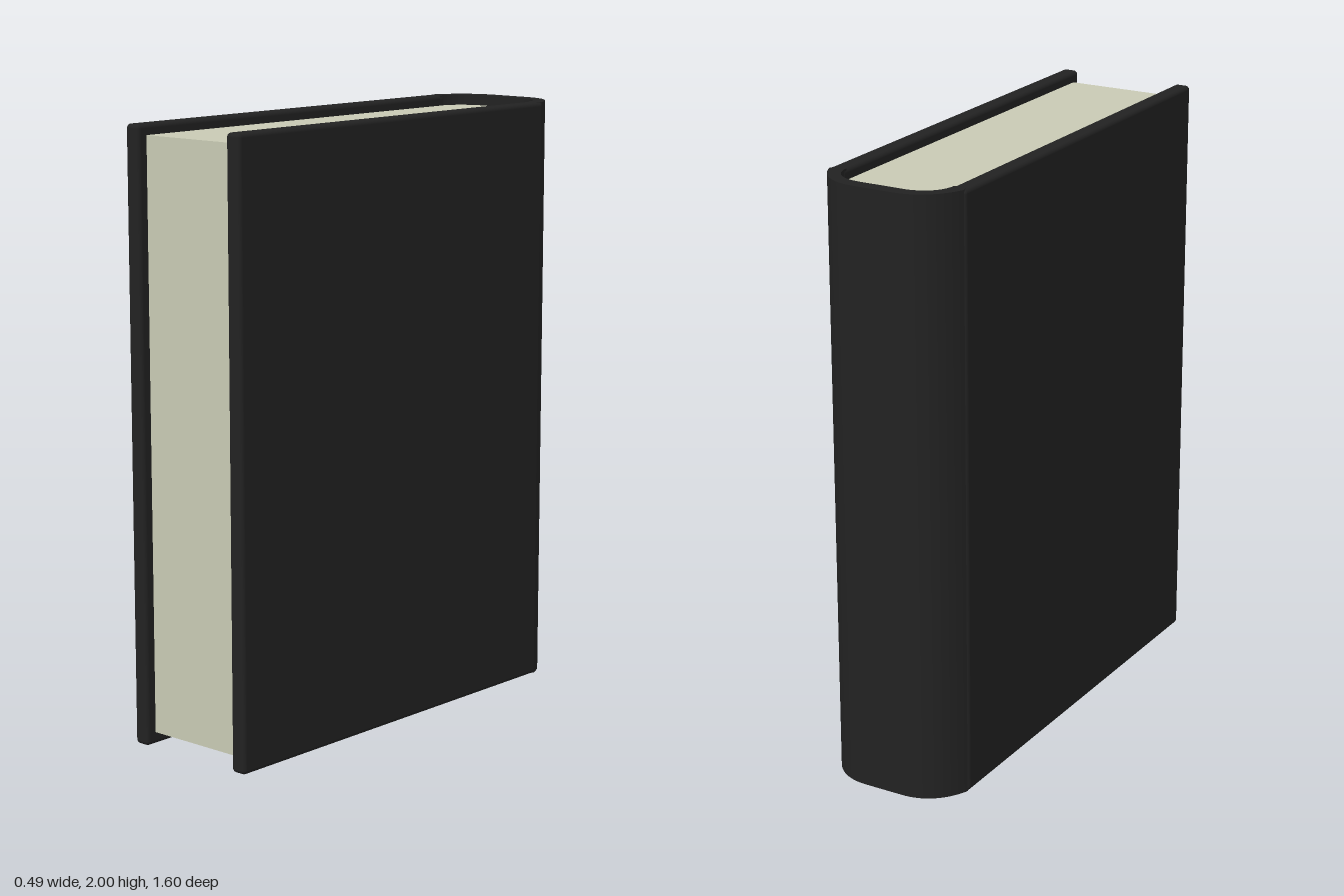
import * as THREE from 'three';
import { toCreasedNormals } from 'three/addons/utils/BufferGeometryUtils.js';
import { RoundedBoxGeometry } from 'three/addons/geometries/RoundedBoxGeometry.js';

const coverMaterial = new THREE.MeshStandardMaterial({ color: 0x222222 });
const paperMaterial = new THREE.MeshStandardMaterial({ color: 0xc8cab4 });
coverMaterial.name = 'black cover';
paperMaterial.name = 'cream paper';

// Extrudes a plan outline (x, -z) upwards from y0 to y1
function extrudeUp(shape, y0, y1) {
  const geometry = new THREE.ExtrudeGeometry(shape, { depth: y1 - y0, bevelEnabled: false, curveSegments: 16 });
  geometry.rotateX(-Math.PI / 2).translate(0, y0, 0);
  return toCreasedNormals(geometry, 0.5);
}

function addMesh(group, name, geometry, material) {
  const mesh = new THREE.Mesh(geometry, material);
  mesh.name = name;
  group.add(mesh);
  return mesh;
}

// Rounded back of the page block, from right to left or left to right
function roundedBack(path, side) {
  path.bezierCurveTo(side * 0.19, 0.71, side * 0.145, 0.753, side * 0.075, 0.753);
  path.lineTo(-side * 0.075, 0.753);
  path.bezierCurveTo(-side * 0.145, 0.753, -side * 0.19, 0.71, -side * 0.19, 0.65);
}

export function createModel() {
  const book = new THREE.Group();
  book.name = 'book';

  // Page block with a rounded back
  const pages = new THREE.Shape();
  pages.moveTo(-0.19, -0.763);
  pages.lineTo(0.19, -0.763);
  pages.lineTo(0.19, 0.65);
  roundedBack(pages, 1);
  pages.closePath();
  addMesh(book, 'pages', extrudeUp(pages, 0.04, 1.965), paperMaterial);

  // Curved spine wrapping the back of the pages
  const spine = new THREE.Shape();
  spine.moveTo(0.19, 0.65);
  spine.lineTo(0.23, 0.65);
  spine.lineTo(0.238, 0.672);
  spine.bezierCurveTo(0.21, 0.75, 0.15, 0.8, 0.07, 0.8);
  spine.lineTo(-0.07, 0.8);
  spine.bezierCurveTo(-0.15, 0.8, -0.21, 0.75, -0.238, 0.672);
  spine.lineTo(-0.23, 0.65);
  spine.lineTo(-0.19, 0.65);
  roundedBack(spine, -1);
  addMesh(book, 'spine', extrudeUp(spine, 0, 2), coverMaterial);

  // Two boards with softened edges
  for (const [name, side] of [['leftBoard', 1], ['rightBoard', -1]]) {
    const board = addMesh(book, name, new RoundedBoxGeometry(0.056, 2, 1.475, 4, 0.014), coverMaterial);
    board.position.set(side * 0.216, 1, 0.0625);
  }

  return book;
}
